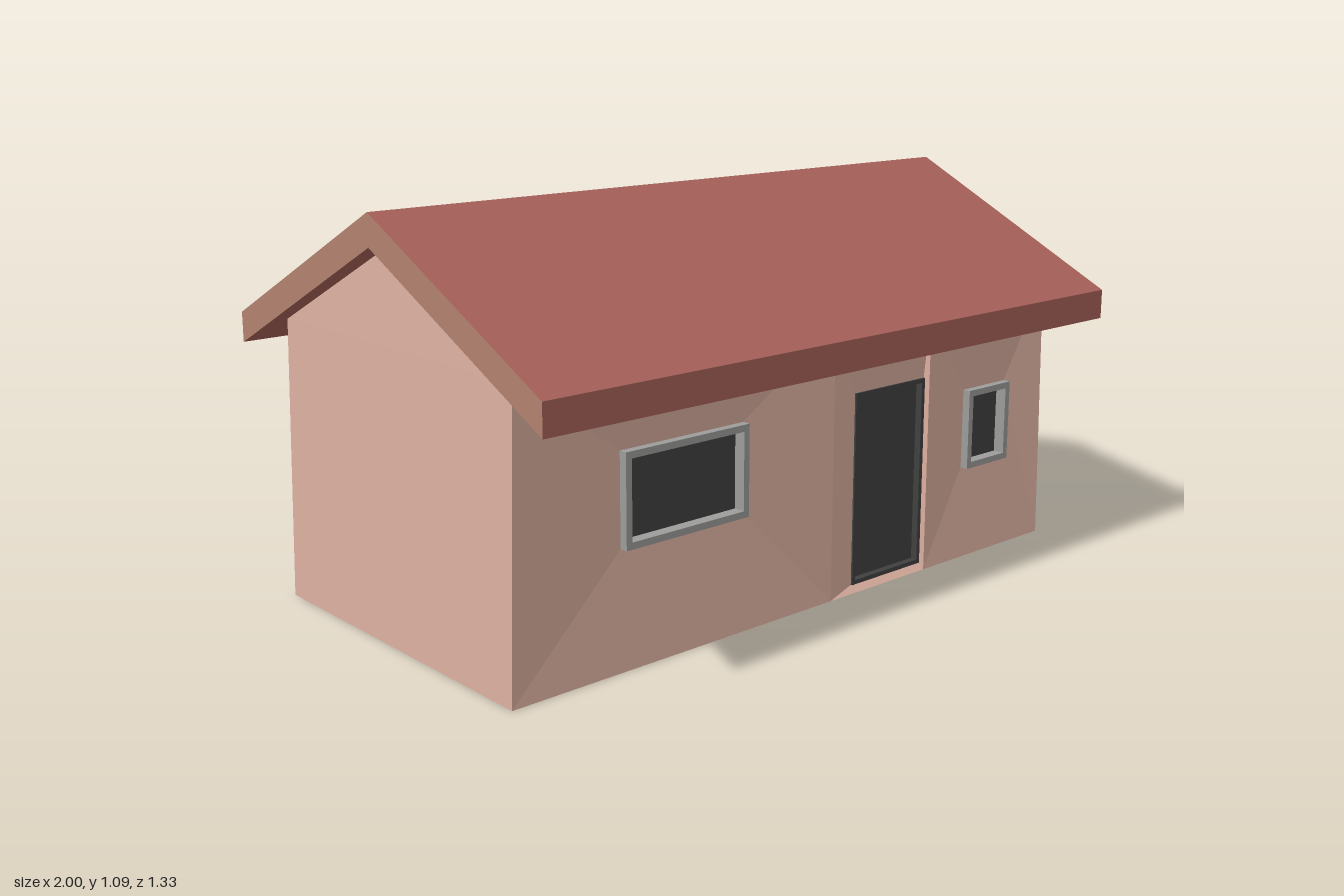
import * as THREE from 'three';

const material = (name, color, side = THREE.FrontSide) => {
  const m = new THREE.MeshStandardMaterial({ color, side });
  m.name = name;
  return m;
};

// Flat-faced geometry from a list of polygons (corners counter-clockwise)
function facets(polygons) {
  const pos = [];
  for (const p of polygons)
    for (let i = 1; i < p.length - 1; i++) pos.push(...p[0], ...p[i], ...p[i + 1]);
  const g = new THREE.BufferGeometry();
  g.setAttribute('position', new THREE.Float32BufferAttribute(pos, 3));
  g.computeVertexNormals();
  return g;
}

// Four wall facets running from outer corners to a rectangular opening
function wallAround(outer, { x0, x1, y0, y1, z }) {
  const inner = [[x0, y0, z], [x1, y0, z], [x1, y1, z], [x0, y1, z]];
  return outer.map((o, i) => {
    const j = (i + 1) % 4;
    return [o, outer[j], inner[j], inner[i]];
  });
}

const rectangle = (target, w, h) => {
  target.moveTo(-w / 2, -h / 2);
  target.lineTo(w / 2, -h / 2);
  target.lineTo(w / 2, h / 2);
  target.lineTo(-w / 2, h / 2);
  target.closePath();
  return target;
};

export function createModel() {
  const model = new THREE.Group();
  model.name = 'house';

  const wall = material('wall plaster', 0xdcb0a0, THREE.DoubleSide);
  const tiles = material('roof red', 0xa8625a);
  const gableTrim = material('roof end brown', 0xb2816f);
  const frameGrey = material('frame grey', 0x9c9c9a);
  const dark = material('dark glass', 0x404040);

  const add = (name, geometry, mat, parent = model) => {
    const mesh = new THREE.Mesh(geometry, mat);
    mesh.name = name;
    parent.add(mesh);
    return mesh;
  };

  const zF = 0.495, zB = -0.505, zRidge = -0.003;
  const yEave = 0.764, yRidge = 1.01;
  const xBase = 0.975, xEave = 0.953, xRidge = 0.943;

  // Openings, x0 to x1 running left to right as seen from outside
  const bigWindow = { x0: -0.635, x1: -0.235, y0: 0.305, y1: 0.548, z: 0.475 };
  const smallWindow = { x0: 0.63, x1: 0.812, y0: 0.262, y1: 0.492, z: 0.475 };
  const door = { x0: 0.172, x1: 0.45, y0: 0.018, y1: 0.556, z: 0.478 };
  const backWindow = { x0: -0.43, x1: -0.765, y0: 0.308, y1: 0.545, z: zB };

  // Front wall: three bays dipping slightly in towards their openings
  const bay = (xa, xb, xbTop, xaTop) =>
    [[xa, 0, zF], [xb, 0, zF], [xbTop, yEave, zF], [xaTop, yEave, zF]];
  add('frontWall', facets([
    ...wallAround(bay(-xBase, 0.075, 0.075, -xEave), bigWindow),
    ...wallAround(bay(0.075, 0.455, 0.455, 0.075), door),
    ...wallAround(bay(0.455, xBase, xEave, 0.455), smallWindow),
  ]), wall);

  // Back wall
  add('backWall', facets(wallAround(
    [[xBase, 0, zB], [-xBase, 0, zB], [-xEave, yEave, zB], [xEave, yEave, zB]],
    backWindow)), wall);

  // Gable walls, leaning in slightly, and the floor
  for (const s of [1, -1]) {
    const gable = [
      [s * xBase, 0, zF], [s * xBase, 0, zB], [s * xEave, yEave, zB],
      [s * xRidge, yRidge, zRidge], [s * xEave, yEave, zF],
    ];
    add(s > 0 ? 'leftGable' : 'rightGable', facets([s > 0 ? gable : gable.reverse()]), wall);
  }
  add('floor', facets([
    [[-xBase, 0, zB], [xBase, 0, zB], [xBase, 0, zF], [-xBase, 0, zF]],
  ]), wall);

  // Roof: chevron profile swept along x, with brown ends
  const chevron = new THREE.Shape([
    [-0.667, 0.68], [-zRidge, yRidge], [0.667, 0.68],
    [0.667, 0.762], [-zRidge, 1.094], [-0.667, 0.762],
  ].map(([a, b]) => new THREE.Vector2(a, b)));
  const roof = new THREE.ExtrudeGeometry(chevron, { depth: 2, bevelEnabled: false });
  roof.rotateY(Math.PI / 2).translate(-1, 0, 0);
  add('roof', roof, [gableTrim, tiles]);

  // Windows: a deep frame with the pane set back inside it
  const addWindow = (name, o, zFace, depth) => {
    const w = Math.abs(o.x1 - o.x0), h = o.y1 - o.y0, rim = 0.018;
    const group = new THREE.Group();
    group.name = name;
    const outline = rectangle(new THREE.Shape(), w, h);
    outline.holes.push(rectangle(new THREE.Path(), w - 2 * rim, h - 2 * rim));
    const frame = new THREE.ExtrudeGeometry(outline, { depth, bevelEnabled: false });
    add('windowFrame', frame.translate(0, 0, -depth), frameGrey, group);
    const pane = new THREE.BoxGeometry(w - 2 * rim, h - 2 * rim, 0.008);
    add('windowPane', pane.translate(0, 0, 0.008 - depth), dark, group);
    group.position.set((o.x0 + o.x1) / 2, (o.y0 + o.y1) / 2, zFace);
    if (zFace < 0) group.rotation.y = Math.PI;
    model.add(group);
  };
  addWindow('frontLargeWindow', bigWindow, 0.498, 0.045);
  addWindow('frontSmallWindow', smallWindow, 0.498, 0.045);
  addWindow('backWindow', backWindow, -0.526, 0.05);

  // Door: dark surround with a recessed panel
  const dw = door.x1 - door.x0, dh = door.y1 - door.y0, jamb = 0.012;
  const doorGroup = new THREE.Group();
  doorGroup.name = 'door';
  const surround = rectangle(new THREE.Shape(), dw, dh);
  surround.holes.push(rectangle(new THREE.Path(), dw - 2 * jamb, dh - 2 * jamb));
  add('doorSurround', new THREE.ExtrudeGeometry(surround, { depth: 0.035, bevelEnabled: false })
    .translate(0, 0, -0.03), dark, doorGroup);
  add('doorPanel', new THREE.BoxGeometry(dw - 2 * jamb, dh - 2 * jamb, 0.01)
    .translate(0, 0, -0.02), dark, doorGroup);
  doorGroup.position.set((door.x0 + door.x1) / 2, (door.y0 + door.y1) / 2, door.z);
  model.add(doorGroup);

  return model;
}
